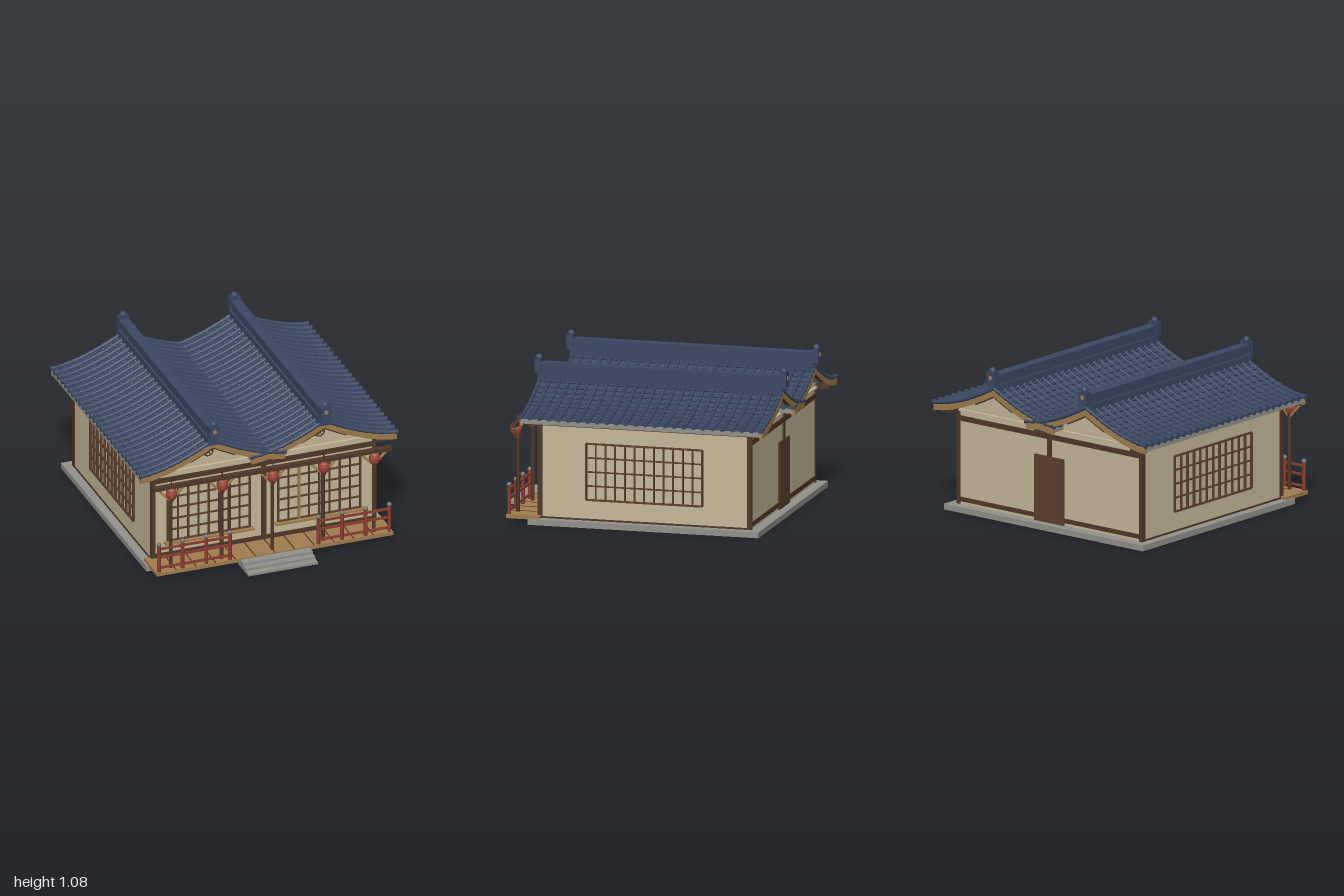
import * as THREE from 'three';
import { mergeGeometries } from 'three/addons/utils/BufferGeometryUtils.js';

const mat = (name, color) => Object.assign(new THREE.MeshStandardMaterial({ color }), { name });
const M = {
  plaster: mat('plaster', 0xc6b899),
  tile: mat('roof tile', 0x3b4863),
  dark: mat('dark wood', 0x503729),
  lattice: mat('lattice wood', 0x5c3f2f),
  tan: mat('light wood', 0xa07d4e),
  red: mat('red paint', 0x8c3d30),
  lantern: mat('lantern red', 0xa0483a),
  stone: mat('stone', 0x92918a),
  cap: mat('grey cap', 0x75736e),
};

const HALF = 0.52, FRONT = 0.72, BACK = -0.95;
// roof height at distance d from the ridge
const roofY = d => 0.735 + 0.18 * Math.pow(Math.max(0, 1 - Math.abs(d) / HALF), 1.6);

// strip following the roof curve, between two height offsets
function roofBand(reach, hi, lo, z0, z1) {
  const pts = [], n = 24;
  for (let i = 0; i <= n; i++) {
    const d = -reach + (2 * reach * i) / n;
    pts.push(new THREE.Vector2(d, roofY(d) + hi));
  }
  for (const p of pts.slice().reverse()) {
    pts.push(new THREE.Vector2(p.x, lo === null ? 0.04 : p.y - hi + lo));
  }
  return new THREE.ExtrudeGeometry(new THREE.Shape(pts), { depth: z1 - z0, bevelEnabled: false }).translate(0, 0, z0);
}

export function createModel() {
  const root = new THREE.Group();
  root.name = 'courtyardHouse';
  const add = (name, geo, m, x = 0, y = 0, z = 0, parent = root) => {
    const mesh = new THREE.Mesh(geo, m);
    mesh.name = name;
    mesh.position.set(x, y, z);
    parent.add(mesh);
    return mesh;
  };
  // box given by its extents
  const box = (name, m, x0, x1, y0, y1, z0, z1, parent) =>
    add(name, new THREE.BoxGeometry(x1 - x0, y1 - y0, z1 - z0), m,
      (x0 + x1) / 2, (y0 + y1) / 2, (z0 + z1) / 2, parent);
  const cyl = (name, m, r, y0, y1, x, z, parent) =>
    add(name, new THREE.CylinderGeometry(r, r, y1 - y0, 12), m, x, (y0 + y1) / 2, z, parent);

  // base, steps and porch deck
  box('baseSlab', M.stone, -0.865, 0.865, 0, 0.04, -0.92, 0.69);
  for (let i = 0; i < 3; i++) {
    box('step', M.stone, -0.25, 0.25, i * 0.017, (i + 1) * 0.017, 0.8, 1 - i * 0.048);
  }
  box('deck', M.tan, -0.85, 0.85, 0.034, 0.06, 0.61, 0.845);
  for (let i = 1; i < 12; i++) {
    const x = -0.85 + (i * 1.7) / 12;
    box('deckJoint', M.dark, x - 0.004, x + 0.004, 0.058, 0.062, 0.63, 0.844);
  }

  // walls with gables, and their timber frame
  for (const c of [-0.4, 0.4]) add('wall', roofBand(0.4, -0.025, null, -0.85, 0.63), M.plaster, c);
  for (const s of [-1, 1]) {
    for (const z of [0.62, -0.84]) box('cornerPost', M.dark, s * 0.793 - 0.015, s * 0.793 + 0.015, 0.04, 0.7, z - 0.016, z + 0.016);
    box('sideSill', M.dark, s * 0.8 - 0.005, s * 0.8 + 0.005, 0.04, 0.052, -0.85, 0.63);
  }
  for (const [z, s] of [[0.63, 1], [-0.85, -1]]) {
    box('wallBeam', M.dark, -0.8, 0.8, 0.62, 0.655, z - 0.01, z + 0.01);
    box('wallSill', M.dark, -0.8, 0.8, 0.06, 0.09, z - 0.008, z + 0.008);
    box('gableLedge', M.plaster, -0.8, 0.8, 0.688, 0.703, z - 0.02, z + 0.02);
    box('middlePost', M.dark, -0.018, 0.018, s > 0 ? 0.05 : 0.5, 0.69, z - 0.01, z + 0.01);
  }
  box('backDoor', M.lattice, -0.128, 0.128, 0.04, 0.5, -0.862, -0.84);

  // lattice window, built in its own xy plane
  function lattice(name, w, h, cols, rows) {
    const g = new THREE.Group();
    g.name = name;
    for (let i = 0; i <= cols; i++) {
      const x = -w / 2 + (w * i) / cols, t = i % cols ? 0.0045 : 0.006;
      box('latticeUpright', M.lattice, x - t, x + t, -h / 2, h / 2, -0.006, 0.014, g);
    }
    for (let i = 0; i <= rows; i++) {
      const y = -h / 2 + (h * i) / rows, t = i % rows ? 0.0045 : 0.006;
      box('latticeBar', M.lattice, -w / 2, w / 2, y - t, y + t, -0.006, 0.012, g);
    }
    root.add(g);
    return g;
  }
  for (const s of [-1, 1]) {
    lattice('frontWindow', 0.59, 0.41, 8, 5).position.set(s * 0.397, 0.38, 0.632);
    box('windowStile', s < 0 ? M.dark : M.tan, s * 0.25 - 0.008, s * 0.25 + 0.008, 0.175, 0.585, 0.63, 0.65);
    box('windowSill', M.tan, s * 0.397 - 0.32, s * 0.397 + 0.32, 0.158, 0.172, 0.62, 0.67);
    const side = lattice('sideWindow', 0.81, 0.385, 12, 4);
    side.position.set(s * 0.802, 0.375, -0.108);
    side.rotation.y = (s * Math.PI) / 2;
  }

  // purlins under the eaves and valley
  for (const [x, w] of [[-0.82, 0.04], [0, 0.06], [0.82, 0.04]]) {
    box('purlin', M.dark, x - w, x + w, 0.688, 0.706, BACK, FRONT);
  }

  // one slope of tiles: flat courses and rounded cover rows
  const courses = 10, pans = [], row = [];
  for (let i = 0; i < courses; i++) {
    const d0 = (i * HALF) / courses, d1 = ((i + 1) * HALF) / courses;
    const y0 = roofY(d0), y1 = roofY(d1);
    const len = Math.hypot(d1 - d0, y1 - y0), mx = (d0 + d1) / 2, my = (y0 + y1) / 2;
    pans.push(new THREE.BoxGeometry(len * 0.9, 0.01, FRONT - BACK)
      .rotateZ(Math.atan2(y1 - y0, d1 - d0) + 0.06)
      .translate(mx, my + 0.005, (FRONT + BACK) / 2));
    row.push(new THREE.CylinderGeometry(0.012, 0.0155, len * 1.04, 8, 1, false)
      .rotateZ(Math.atan2(d1 - d0, y0 - y1))
      .translate(mx, my + 0.012, 0));
  }
  row.push(new THREE.CylinderGeometry(0.018, 0.018, 0.012, 10).rotateZ(Math.PI / 2).translate(HALF, roofY(HALF) + 0.012, 0));
  const rowGeo = mergeGeometries(row), rows = [];
  for (let j = 0; j < 26; j++) {
    rows.push(rowGeo.clone().translate(0, 0, BACK - 0.005 + (j * (FRONT - BACK + 0.01)) / 25));
  }
  const panGeo = mergeGeometries(pans), coverGeo = mergeGeometries(rows);
  const midZ = (FRONT + BACK) / 2;

  for (const c of [-0.4, 0.4]) {
    const roof = new THREE.Group();
    roof.name = 'gableRoof';
    roof.position.x = c;
    root.add(roof);
    add('roofSlab', roofBand(HALF, 0, -0.03, BACK, FRONT), M.stone, 0, 0, 0, roof);
    for (const geo of [panGeo, coverGeo]) {
      const name = geo === panGeo ? 'flatTiles' : 'coverTiles';
      add(name, geo, M.tile, 0, 0, 0, roof);
      add(name, geo.clone().translate(0, 0, -midZ).rotateY(Math.PI).translate(0, 0, midZ), M.tile, 0, 0, 0, roof);
    }
    for (const [z, s] of [[FRONT, 1], [BACK, -1]]) {
      // barge boards and trim
      add('bargeBoard', roofBand(HALF, -0.002, -0.042, z - 0.015, z + 0.01), M.tan, 0, 0, 0, roof);
      add('bargeTrim', roofBand(0.16, -0.042, -0.052, z - 0.012, z + 0.006), M.dark, 0, 0, 0, roof);
      // ridge end ornament
      const e = z + s * 0.02;
      box('ridgeEnd', M.tile, -0.037, 0.037, 0.95, 1.045, e - 0.022, e + 0.022, roof);
      add('ridgeKnob', new THREE.SphereGeometry(0.025, 14, 10), M.tile, 0, 1.052, e, roof);
      add('ridgeBoss', new THREE.CylinderGeometry(0.015, 0.015, 0.008, 12).rotateX(Math.PI / 2), M.tan, 0, 1.005, e + s * 0.024, roof);
    }
    // stacked ridge
    box('ridgeFoot', M.tile, -0.042, 0.042, 0.895, 0.955, BACK - 0.01, FRONT + 0.02, roof);
    box('ridgeBody', M.tile, -0.028, 0.028, 0.955, 1.0, BACK - 0.01, FRONT + 0.02, roof);
    box('ridgeCap', M.tile, -0.036, 0.036, 1.0, 1.025, BACK - 0.01, FRONT + 0.02, roof);
    // round gable vent
    const vent = new THREE.Group();
    vent.name = 'gableVent';
    vent.position.set(0, 0.8, 0.634);
    roof.add(vent);
    add('ventRing', new THREE.TorusGeometry(0.035, 0.005, 6, 24), M.dark, 0, 0, 0, vent);
    add('ventHub', new THREE.TorusGeometry(0.012, 0.004, 6, 16), M.dark, 0, 0, 0, vent);
    for (let i = 0; i < 3; i++) {
      add('ventSpoke', new THREE.BoxGeometry(0.07, 0.005, 0.007), M.dark, 0, 0, 0, vent).rotation.z = (i * Math.PI) / 3;
    }
  }

  // porch beam, posts, braces and lanterns
  box('porchBeam', M.dark, -0.855, 0.855, 0.658, 0.683, 0.775, 0.815);
  for (let i = -2; i <= 2; i++) {
    const x = i * 0.365;
    cyl('porchPost', M.dark, 0.013, 0.015, 0.66, x, 0.793);
    for (const s of [-1, 1]) {
      add('brace', new THREE.BoxGeometry(0.014, 0.115, 0.016), M.tan, x + s * 0.045, 0.607, 0.793).rotation.z = -s * 0.75;
    }
    const lamp = new THREE.Group();
    lamp.name = 'lantern';
    lamp.position.set(x, 0.622, 0.808);
    root.add(lamp);
    add('lanternBody', new THREE.SphereGeometry(0.038, 16, 12), M.lantern, 0, 0, 0, lamp).scale.y = 1.3;
    for (const y of [-0.025, 0, 0.025]) {
      const r = 0.038 * Math.sqrt(1 - (y / 0.0494) ** 2);
      add('lanternRib', new THREE.TorusGeometry(r, 0.0018, 4, 16).rotateX(Math.PI / 2), M.red, 0, y, 0, lamp);
    }
    cyl('lanternTop', M.dark, 0.018, 0.042, 0.053, 0, 0, lamp);
    cyl('lanternFoot', M.dark, 0.015, -0.056, -0.045, 0, 0, lamp);
    cyl('lanternHook', M.dark, 0.004, 0.05, 0.11, 0, 0, lamp);
  }

  // porch railings
  for (const s of [-1, 1]) {
    for (let i = 0; i < 4; i++) {
      const x = s * (0.318 + i * 0.17);
      cyl('railPost', M.red, 0.013, 0.06, 0.25, x, 0.828);
      add('railKnob', new THREE.SphereGeometry(0.017, 12, 8), M.cap, x, 0.262, 0.828);
    }
    for (const y of [0.09, 0.168, 0.23]) {
      box('rail', M.red, s * 0.573 - 0.255, s * 0.573 + 0.255, y - 0.007, y + 0.007, 0.821, 0.835);
    }
  }
  return root;
}
